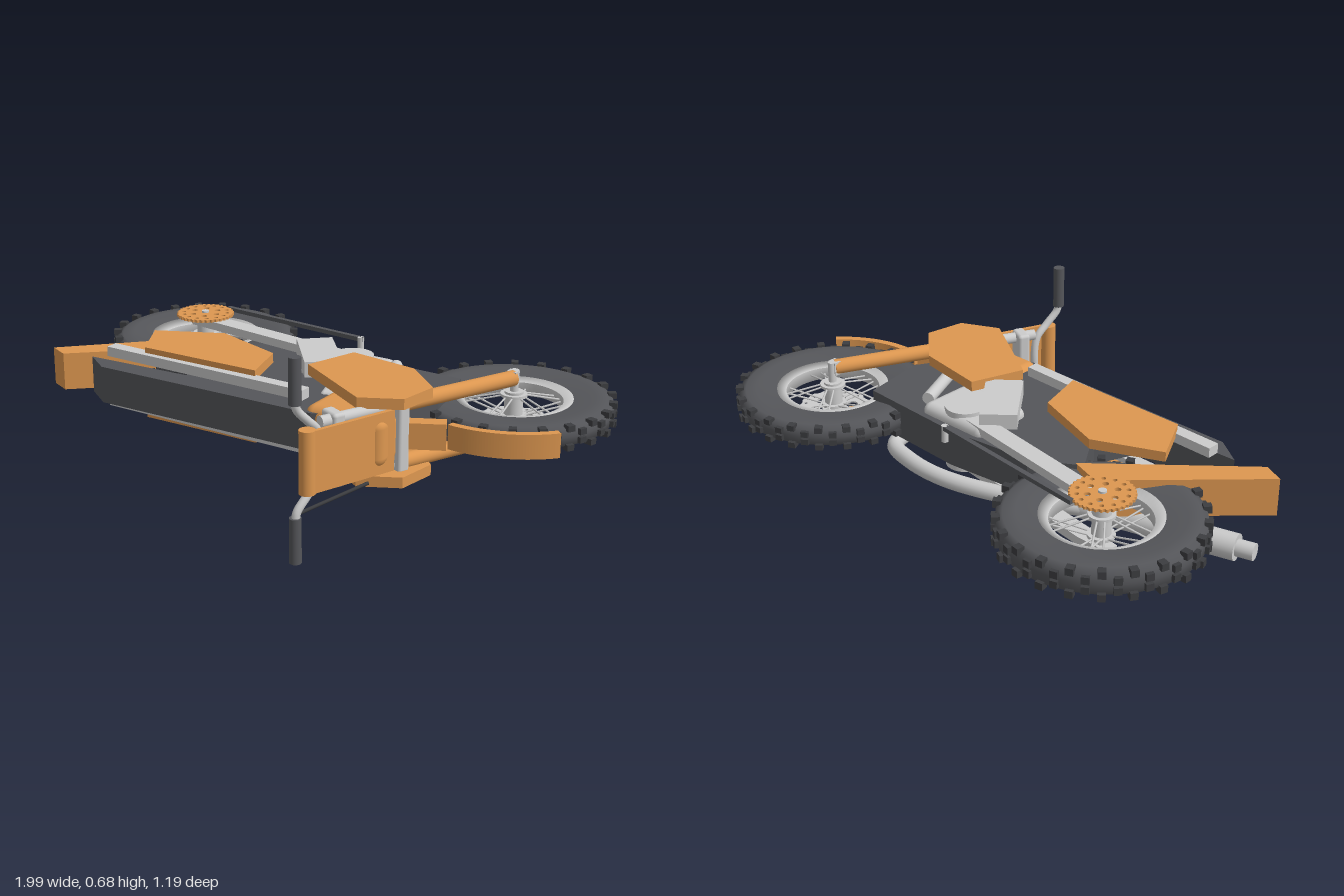
import * as THREE from 'three';
import { RoundedBoxGeometry } from 'three/addons/geometries/RoundedBoxGeometry.js';

const mat = (color) => new THREE.MeshStandardMaterial({ color, side: THREE.DoubleSide });
const grey = mat(0xcccccc), orange = mat(0xdd9750), dark = mat(0x55565a), black = mat(0x3c3d40);
const V = (x, y, z) => new THREE.Vector3(x, y, z);

function add(parent, name, geometry, material, x = 0, y = 0, z = 0) {
  const m = new THREE.Mesh(geometry, material);
  m.name = name;
  m.position.set(x, y, z);
  parent.add(m);
  return m;
}

// Side outline (x, y) extruded from z0 to z1
function prism(parent, name, pts, z0, z1, material, holes = []) {
  const shape = new THREE.Shape(pts.map(([x, y]) => new THREE.Vector2(x, y)));
  shape.holes = holes;
  const g = new THREE.ExtrudeGeometry(shape, { depth: z1 - z0, bevelEnabled: false });
  return add(parent, name, g, material, 0, 0, z0);
}

// Cylinder between two points
function rod(parent, name, a, b, r, material, sides = 20) {
  const d = b.clone().sub(a);
  const m = add(parent, name, new THREE.CylinderGeometry(r, r, d.length(), sides), material);
  m.position.copy(a).addScaledVector(d, 0.5);
  m.quaternion.setFromUnitVectors(V(0, 1, 0), d.normalize());
  return m;
}

function tube(parent, name, pts, r, material) {
  const curve = new THREE.CatmullRomCurve3(pts);
  return add(parent, name, new THREE.TubeGeometry(curve, 50, r, 16), material);
}

// Flat drilled disc facing z
function drilledDisc(parent, name, r, thick, hub, rows, teeth, z, material) {
  const n = teeth * 4, pts = [];
  for (let i = 0; i < n; i++) {
    const a = (i / n) * Math.PI * 2, rr = i % 4 < 2 ? r : r * 0.95;
    pts.push([Math.cos(a) * rr, Math.sin(a) * rr]);
  }
  const holes = [new THREE.Path().absarc(0, 0, hub, 0, Math.PI * 2, true)];
  for (const [count, hr, size] of rows)
    for (let i = 0; i < count; i++) {
      const a = (i / count) * Math.PI * 2;
      holes.push(new THREE.Path().absarc(Math.cos(a) * hr, Math.sin(a) * hr, size, 0, Math.PI * 2, true));
    }
  return prism(parent, name, pts, z - thick / 2, z + thick / 2, material, holes);
}

function ring(parent, name, profile, material) {
  const g = new THREE.LatheGeometry(profile.map(([r, h]) => new THREE.Vector2(r, h)), 64);
  return add(parent, name, g.rotateX(Math.PI / 2), material);
}

function wheel(parent, name, x, w) {
  const g = new THREE.Group();
  g.name = name;
  g.position.set(x, -0.25, 0);
  parent.add(g);
  ring(g, 'tyre', [[0.195, -w * 0.7], [0.27, -w], [0.31, -w * 0.93], [0.332, -w * 0.7], [0.334, 0],
    [0.332, w * 0.7], [0.31, w * 0.93], [0.27, w], [0.195, w * 0.7], [0.195, -w * 0.7]], dark);
  ring(g, 'rim', [[0.167, -0.022], [0.2, -w * 0.8], [0.2, w * 0.8], [0.167, 0.022], [0.167, -0.022]], grey);
  // Staggered tread knobs
  const knob = new THREE.BoxGeometry(0.028, 0.026, w * 0.5);
  const steps = 44;
  for (let i = 0; i < steps; i++) {
    const a = (i / steps) * Math.PI * 2;
    for (const z of i % 2 ? [-w * 0.35, w * 0.35] : [-w * 0.8, w * 0.8]) {
      const k = add(g, 'treadKnob', knob, black, Math.cos(a) * 0.332, Math.sin(a) * 0.332, z);
      k.rotation.z = a;
    }
  }
  // Spokes cross from the hub flanges to the rim
  for (let i = 0; i < 20; i++) {
    const a = (i / 20) * Math.PI * 2, b = a + (i % 4 < 2 ? 0.2 : -0.2);
    rod(g, 'spoke', V(Math.cos(a) * 0.038, Math.sin(a) * 0.038, i % 2 ? 0.035 : -0.035),
      V(Math.cos(b) * 0.175, Math.sin(b) * 0.175, 0), 0.0035, grey, 6);
  }
  rod(g, 'hub', V(0, 0, -0.05), V(0, 0, 0.05), 0.032, grey);
  for (const s of [-1, 1]) rod(g, 'hubFlange', V(0, 0, s * 0.032), V(0, 0, s * 0.042), 0.046, grey);
  rod(g, 'axle', V(0, 0, -0.125), V(0, 0, 0.125), 0.014, grey);
  return g;
}

export function createModel() {
  const root = new THREE.Group();
  root.name = 'dirtBike';
  // Upright bike (x forward, y up), laid over on its side
  const bike = new THREE.Group();
  bike.name = 'bike';
  bike.rotation.x = Math.PI / 2;
  bike.position.y = 0.342;
  root.add(bike);

  const front = wheel(bike, 'frontWheel', 0.645, 0.041);
  const rear = wheel(bike, 'rearWheel', -0.635, 0.05);
  drilledDisc(front, 'brakeDisc', 0.13, 0.006, 0.02, [[12, 0.11, 0.007], [6, 0.065, 0.022]], 16, 0.057, grey);
  add(front, 'brakeCaliper', new RoundedBoxGeometry(0.06, 0.09, 0.035, 2, 0.01), dark, -0.1, 0.08, 0.062).rotation.z = 0.45;
  drilledDisc(rear, 'sprocket', 0.107, 0.01, 0.012, [[14, 0.082, 0.008], [6, 0.05, 0.011]], 36, -0.113, orange);
  rod(rear, 'sprocketCarrier', V(0, 0, -0.108), V(0, 0, -0.04), 0.032, grey);

  // Chain run
  prism(bike, 'chain', [[-0.6, -0.362], [0.03, -0.302], [0.03, -0.284], [-0.6, -0.344]], -0.12, -0.105, dark);
  rod(bike, 'chainRoller', V(0.02, -0.292, -0.12), V(0.02, -0.292, -0.06), 0.012, grey);

  // Frame body with seat on top
  prism(bike, 'bodyAndSeat', [[-0.76, 0.265], [-0.66, 0.335], [0.2, 0.335], [0.38, 0.25], [0.5, 0.02], [0.46, -0.22],
    [0.05, -0.237], [-0.27, -0.2], [-0.43, -0.1], [-0.3, 0.1], [-0.36, 0.25]], -0.066, 0.066, dark);
  prism(bike, 'rearFender', [[-0.94, 0.265], [-0.865, 0.3], [-0.4, -0.11], [-0.52, -0.15]], -0.068, 0.068, orange);
  add(bike, 'fuelTank', new RoundedBoxGeometry(0.29, 0.22, 0.17, 3, 0.035), orange, 0.31, 0.218, 0);

  // Engine
  add(bike, 'engineCase', new RoundedBoxGeometry(0.29, 0.23, 0.2, 3, 0.03), grey, 0.08, -0.095, 0);
  rod(bike, 'engineCover', V(0.085, -0.13, -0.113), V(0.085, -0.13, 0.113), 0.072, grey, 32);
  const barrel = add(bike, 'cylinderHead', new RoundedBoxGeometry(0.15, 0.22, 0.15, 2, 0.015), grey, 0.17, 0.04, 0);
  barrel.rotation.z = -0.3;

  for (const s of [-1, 1]) {
    const span = (a, b) => (s > 0 ? [a, b] : [-b, -a]);
    const plate = (name, pts, a, b, m) => prism(bike, name, pts, ...span(a, b), m);
    plate('sidePanel', [[-0.635, 0.06], [-0.4, -0.045], [-0.13, 0.05], [-0.08, 0.235], [-0.545, 0.235]], 0.095, 0.13, orange);
    plate('tankShroud', [[0.07, 0.14], [0.135, -0.05], [0.39, -0.01], [0.53, 0.12], [0.505, 0.265], [0.37, 0.33]], 0.115, 0.152, orange);
    plate('seatRail', [[-0.7, 0.205], [0.13, 0.23], [0.13, 0.272], [-0.7, 0.252]], 0.075, 0.11, grey);
    plate('swingarm', [[-0.68, -0.275], [-0.56, -0.275], [0.02, -0.19], [0.04, -0.12], [-0.54, -0.205], [-0.68, -0.225]], 0.07, 0.1, grey);
    plate('pivotPlate', [[-0.13, -0.1], [-0.035, -0.185], [0.13, 0.015], [0.03, 0.1]], 0.085, 0.14, grey);
    rod(bike, 'downTube', V(0.24, -0.16, s * 0.09), V(0.32, 0.02, s * 0.09), 0.022, grey);

    // Fork leg: sleeve, stanchion and axle lug
    rod(bike, 'forkSleeve', V(0.648, -0.235, s * 0.1), V(0.455, 0.17, s * 0.1), 0.027, orange, 24);
    rod(bike, 'forkTube', V(0.46, 0.16, s * 0.1), V(0.315, 0.46, s * 0.1), 0.02, grey);
    add(bike, 'axleLug', new THREE.BoxGeometry(0.035, 0.03, 0.05), grey, 0.645, -0.235, s * 0.1);
    rod(bike, 'grip', V(0.295, 0.572, s * 0.188), V(0.295, 0.572, s * 0.342), 0.02, dark, 24);
  }

  // Steering head
  for (const [x, y] of [[0.445, 0.195], [0.33, 0.405]]) {
    const c = add(bike, 'forkClamp', new RoundedBoxGeometry(0.08, 0.045, 0.25, 2, 0.012), grey, x, y, 0);
    c.rotation.z = 0.45;
  }
  rod(bike, 'steeringStem', V(0.43, 0.19, 0), V(0.32, 0.42, 0), 0.025, grey);
  tube(bike, 'handlebar', [V(0.295, 0.572, -0.2), V(0.297, 0.565, -0.17), V(0.31, 0.525, -0.125), V(0.318, 0.48, -0.08),
    V(0.318, 0.465, 0), V(0.318, 0.48, 0.08), V(0.31, 0.525, 0.125), V(0.297, 0.565, 0.17), V(0.295, 0.572, 0.2)], 0.014, grey);
  rod(bike, 'crossbarPad', V(0.325, 0.55, -0.106), V(0.325, 0.55, 0.106), 0.027, orange, 24);
  prism(bike, 'frontPlate', [[0.335, 0.54], [0.348, 0.545], [0.465, 0.25], [0.45, 0.245]], -0.104, 0.104, orange);
  rod(bike, 'brakeLine', V(0.297, 0.57, 0.177), V(0.41, 0.32, 0.135), 0.006, black, 8);

  // Front fender arc and its mount
  const arc = new THREE.Shape();
  arc.absarc(0.645, -0.25, 0.388, 0.74, 1.7, false);
  arc.absarc(0.645, -0.25, 0.362, 1.7, 0.74, true);
  const fender = new THREE.ExtrudeGeometry(arc, { depth: 0.084, bevelEnabled: false, curveSegments: 20 });
  add(bike, 'frontFender', fender, orange, 0, 0, -0.042);
  add(bike, 'fenderMount', new THREE.BoxGeometry(0.13, 0.05, 0.09), orange, 0.525, 0.15, 0).rotation.z = -0.45;

  // Exhaust
  tube(bike, 'exhaustPipe', [V(0.25, -0.04, 0.05), V(0.34, -0.12, 0.08), V(0.34, -0.23, 0.098), V(0.22, -0.275, 0.098),
    V(0.04, -0.28, 0.098), V(-0.2, -0.21, 0.098), V(-0.44, -0.09, 0.098)], 0.029, grey);
  rod(bike, 'muffler', V(-0.41, -0.085, 0.098), V(-0.935, 0.062, 0.098), 0.045, grey, 28);
  rod(bike, 'exhaustTip', V(-0.9, 0.052, 0.098), V(-0.992, 0.078, 0.098), 0.029, grey, 24);
  return root;
}
